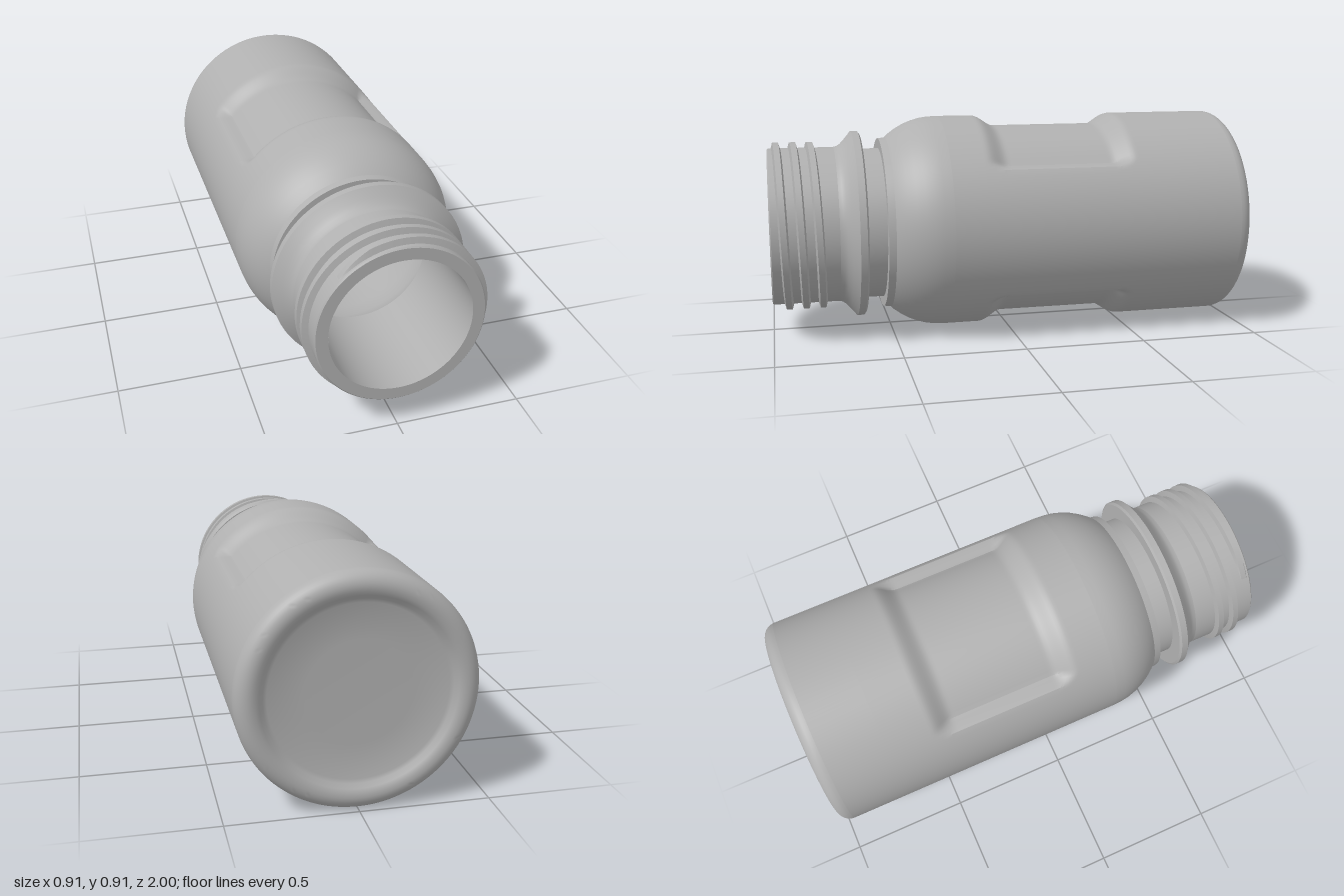
import * as THREE from 'three';
import { toCreasedNormals } from 'three/addons/utils/BufferGeometryUtils.js';

const R = 0.453; // body radius, also the height of the axis
const SEGMENTS = 192;

// Surface of revolution from [radius, position along the bottle] pairs
function turned(points, segments = SEGMENTS) {
  return new THREE.LatheGeometry(points.map(([r, z]) => new THREE.Vector2(r, z)), segments);
}

// Press two opposite rounded grip panels into the body wall
function pressPanels(geometry) {
  const pos = geometry.attributes.position;
  const clamp = (v) => THREE.MathUtils.clamp(v, 0, 1);
  for (let i = 0; i < pos.count; i++) {
    const x = pos.getX(i), y = pos.getY(i), z = pos.getZ(i);
    const arc = R * Math.atan2(Math.abs(x), Math.abs(z));
    const u = clamp((0.435 - arc) / 0.055);
    const v = clamp((0.32 - Math.abs(y + 0.19)) / 0.1);
    const t = clamp(1 - Math.hypot(1 - u, 1 - v));
    const k = 1 - (0.045 / R) * THREE.MathUtils.smoothstep(t, 0, 1);
    if (t > 0) pos.setXYZ(i, x * k, y, z * k);
  }
}

// Helical ridge: a trapezoid section swept down the neck, fading at both ends
function threadGeometry() {
  const steps = 300, turns = 2.8, pitch = 0.07;
  const section = [[0.322, -0.021], [0.354, -0.012], [0.354, 0.012], [0.322, 0.021]];
  const verts = [], index = [];
  for (let i = 0; i <= steps; i++) {
    const turn = -0.15 + (turns * i) / steps;
    const a = turn * Math.PI * 2;
    const fade = Math.min(1, i / 10, (steps - i) / 10);
    for (const [r, dz] of section) {
      const rr = 0.322 + (r - 0.322) * fade;
      verts.push(rr * Math.sin(a), 0.963 - pitch * turn + dz, -rr * Math.cos(a));
    }
    if (i === steps) break;
    for (let j = 0; j < 3; j++) {
      const p = i * 4 + j, q = p + 4;
      index.push(p, p + 1, q, p + 1, q + 1, q);
    }
  }
  const g = new THREE.BufferGeometry();
  g.setAttribute('position', new THREE.Float32BufferAttribute(verts, 3));
  g.setIndex(index);
  return g;
}

export function createModel() {
  const group = new THREE.Group();
  const plastic = new THREE.MeshStandardMaterial({ color: 0xb0b0b0, side: THREE.DoubleSide });
  plastic.name = 'grey plastic';

  const bottle = new THREE.Group();
  bottle.name = 'bottle';
  bottle.rotation.x = Math.PI / 2; // lay the bottle down, mouth towards +z
  bottle.position.y = R;
  group.add(bottle);

  function add(name, geometry, crease = 0.6) {
    const mesh = new THREE.Mesh(toCreasedNormals(geometry, crease), plastic);
    mesh.name = name;
    bottle.add(mesh);
  }

  // Recessed base with a rounded standing rim
  const base = [[0, -0.965], [0.2, -0.966], [0.335, -0.97], [0.35, -0.976], [0.365, -0.99], [0.38, -0.998]];
  for (let i = 0; i <= 8; i++) {
    const a = (i / 8) * Math.PI / 2;
    base.push([R - 0.055 + 0.055 * Math.sin(a), -0.945 - 0.055 * Math.cos(a)]);
  }
  add('base', turned(base));

  // Cylindrical wall with the two grip panels
  const wall = [[R, -0.945], [R, -0.7]];
  for (let z = -0.52; z < 0.15; z += 0.0125) wall.push([R, z]);
  wall.push([R, 0.28]);
  const wallGeometry = turned(wall);
  pressPanels(wallGeometry);
  add('body', wallGeometry);

  // Shoulder curving in to a small collar
  add('shoulder', turned([
    [R, 0.28], [0.451, 0.32], [0.446, 0.355], [0.436, 0.39], [0.422, 0.425],
    [0.402, 0.46], [0.38, 0.49], [0.366, 0.505], [0.362, 0.535], [0.32, 0.535],
  ]));

  // Neck, support flange and mouth lip
  add('lowerNeck', turned([[0.32, 0.53], [0.32, 0.62]]));
  add('flange', turned([
    [0.32, 0.615], [0.385, 0.615], [0.395, 0.622], [0.395, 0.65], [0.386, 0.657],
    [0.362, 0.677], [0.343, 0.695], [0.333, 0.71], [0.33, 0.725],
  ]));
  add('upperNeck', turned([[0.33, 0.72], [0.33, 0.995], [0.325, 1], [0.278, 1]]));
  add('thread', threadGeometry());

  // Hollow inside: straight bore opening into the body
  add('interior', turned([
    [0.278, 1], [0.278, 0.52], [0.31, 0.49], [0.36, 0.43], [0.385, 0.36],
    [0.395, 0.28], [0.395, -0.88], [0.37, -0.92], [0, -0.925],
  ], 96));

  return group;
}
